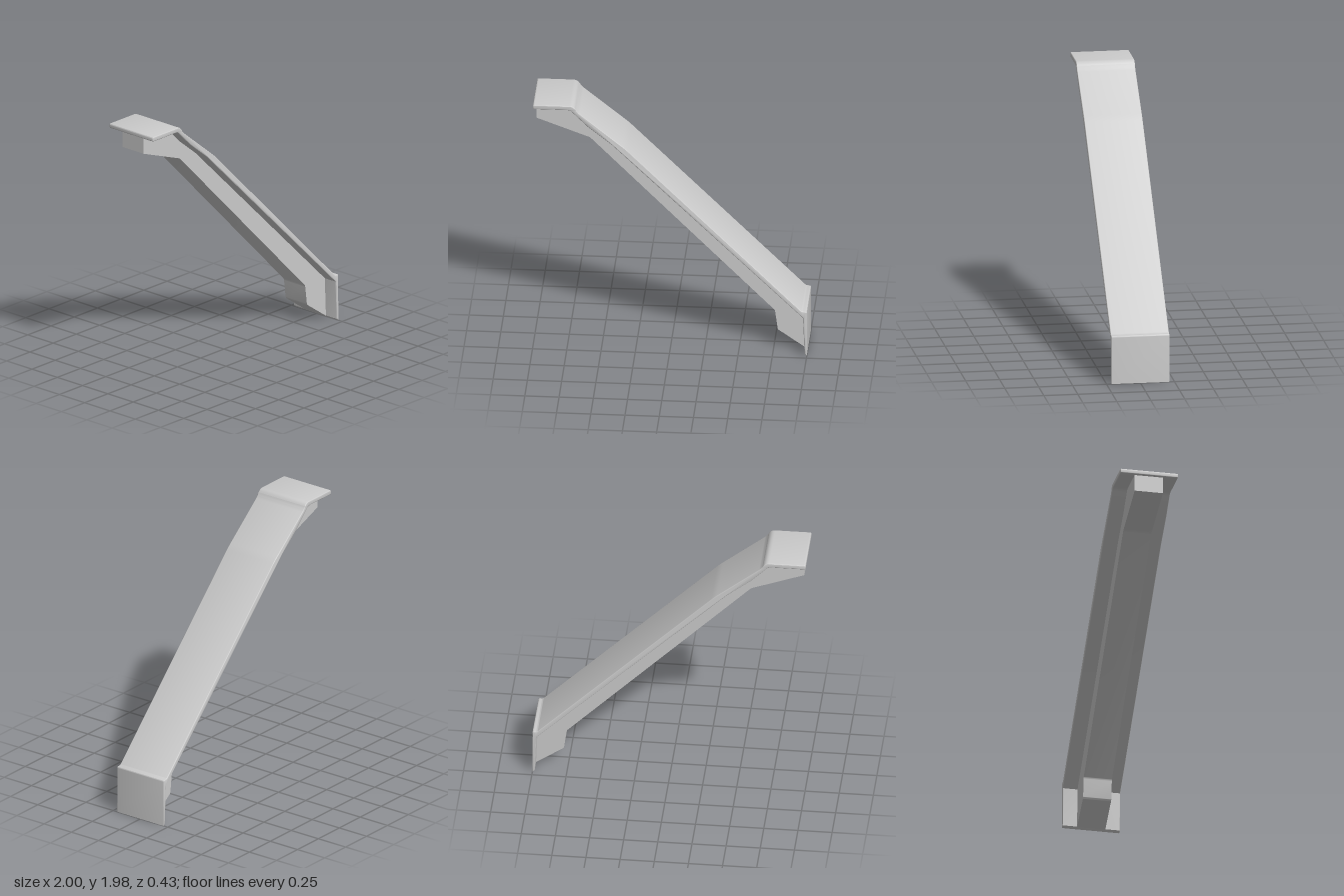
import * as THREE from 'three';
import { toCreasedNormals } from 'three/addons/utils/BufferGeometryUtils.js';

// Closed profile in x, y; each point is [x, y, corner radius].
function roundedProfile(points) {
  const shape = new THREE.Shape();
  const n = points.length;
  points.forEach(([x, y, r = 0], i) => {
    const corner = new THREE.Vector2(x, y);
    const towards = ([px, py]) => {
      const d = new THREE.Vector2(px - x, py - y);
      return corner.clone().addScaledVector(d.normalize(), r);
    };
    const a = towards(points[(i + n - 1) % n]);
    const b = towards(points[(i + 1) % n]);
    if (i === 0) shape.moveTo(a.x, a.y);
    else shape.lineTo(a.x, a.y);
    if (r > 0) shape.quadraticCurveTo(x, y, b.x, b.y);
  });
  shape.closePath();
  return shape;
}

// Profile extruded symmetrically about z = 0, with softened side edges.
function slab(name, points, width, bevel, material) {
  const geometry = new THREE.ExtrudeGeometry(roundedProfile(points), {
    depth: width - 2 * bevel,
    curveSegments: 6,
    bevelEnabled: bevel > 0,
    bevelThickness: bevel,
    bevelSize: bevel,
    bevelOffset: -bevel,
    bevelSegments: 3,
  });
  geometry.translate(0, 0, -(width - 2 * bevel) / 2);
  const mesh = new THREE.Mesh(toCreasedNormals(geometry, 0.6), material);
  mesh.name = name;
  return mesh;
}

export function createModel() {
  const group = new THREE.Group();
  group.name = 'armrest';
  const material = new THREE.MeshStandardMaterial({ color: 0xcccccc });

  // Wide cover: flat top ledge, sloping rail and upright end plate
  group.add(slab('cover', [
    [-1, 1.945, 0.01],
    [-0.73, 1.945, 0.02],
    [-0.6, 1.815],
    [-0.42, 1.67],
    [0.972, 0.308],
    [0.984, 0.015],
    [1, 0],
    [1, 0.36, 0.012],
    [0.965, 0.36, 0.012],
    [-0.33, 1.65, 0.03],
    [-0.675, 1.93, 0.03],
    [-0.705, 1.98, 0.03],
    [-1, 1.98, 0.012],
  ], 0.43, 0.006, material));

  // Narrow support underneath, with a bracket at each end
  group.add(slab('support', [
    [-0.98, 1.955],
    [-0.98, 1.82],
    [-0.59, 1.675, 0.012],
    [0.76, 0.31, 0.012],
    [0.78, 0.155, 0.012],
    [0.985, 0.012],
    [0.978, 0.32],
    [-0.41, 1.68],
    [-0.59, 1.825],
    [-0.72, 1.955],
  ], 0.21, 0, material));

  return group;
}
